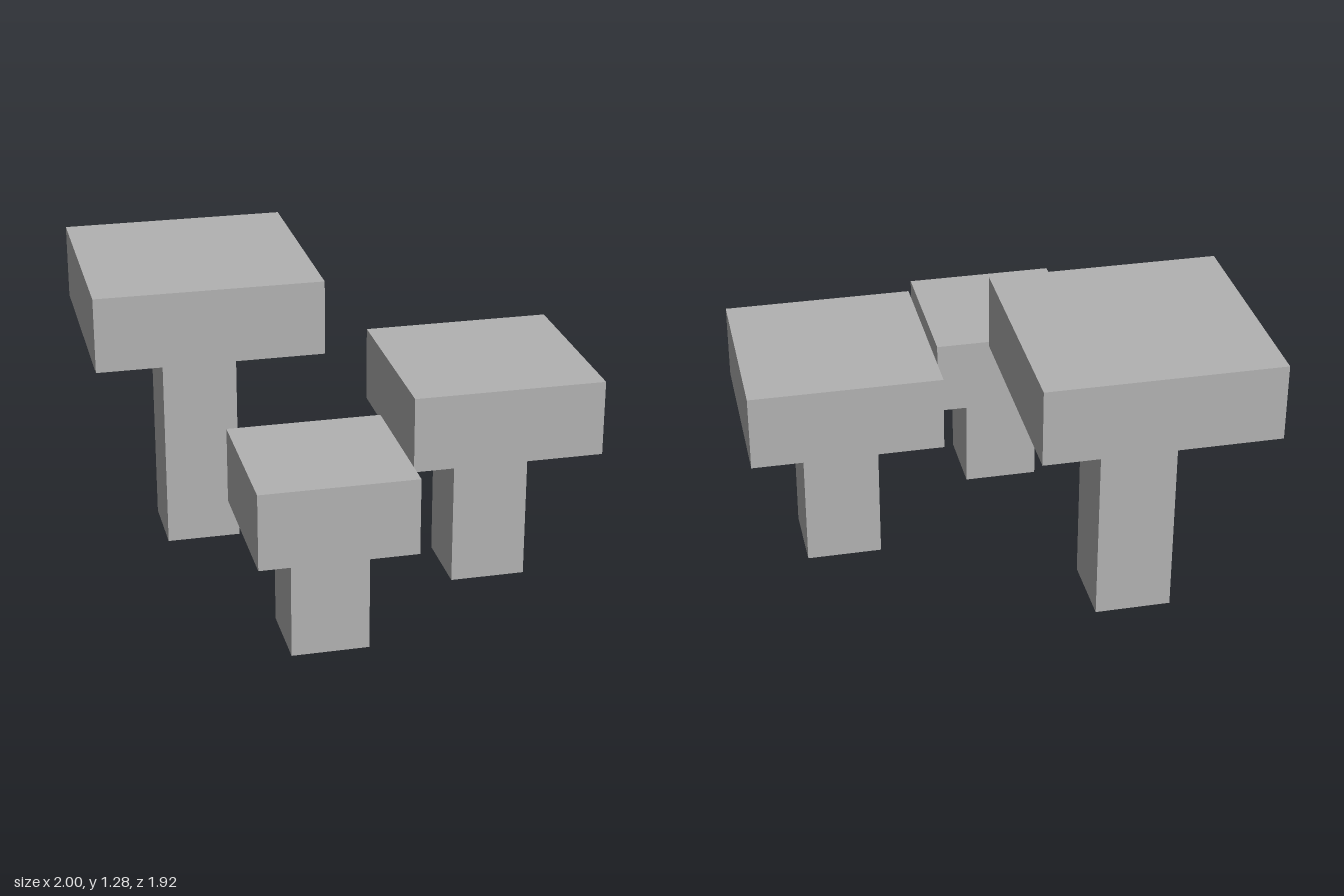
import * as THREE from 'three';

const STEM_WIDTH = 0.32;
const CAP_HEIGHT = 0.32;

// One blocky mushroom: a square stem carrying a wide square cap
function createMushroom(name, { x, z, stemHeight, capWidth }, material) {
  const mushroom = new THREE.Group();
  mushroom.name = name;
  mushroom.position.set(x, 0, z);

  const stem = new THREE.Mesh(new THREE.BoxGeometry(STEM_WIDTH, stemHeight, STEM_WIDTH), material);
  stem.name = 'stem';
  stem.position.y = stemHeight / 2;

  const cap = new THREE.Mesh(new THREE.BoxGeometry(capWidth, CAP_HEIGHT, capWidth), material);
  cap.name = 'cap';
  cap.position.y = stemHeight + CAP_HEIGHT / 2;

  mushroom.add(stem, cap);
  return mushroom;
}

export function createModel() {
  const grey = new THREE.MeshStandardMaterial({ color: 0xb2b2b2 });
  grey.name = 'grey';

  const model = new THREE.Group();
  model.name = 'mushroomCluster';
  model.add(
    createMushroom('tallMushroom', { x: -0.52, z: -0.48, stemHeight: 0.96, capWidth: 0.96 }, grey),
    createMushroom('mediumMushroom', { x: 0.6, z: 0.16, stemHeight: 0.64, capWidth: 0.8 }, grey),
    createMushroom('smallMushroom', { x: -0.2, z: 0.64, stemHeight: 0.48, capWidth: 0.64 }, grey),
  );
  return model;
}
